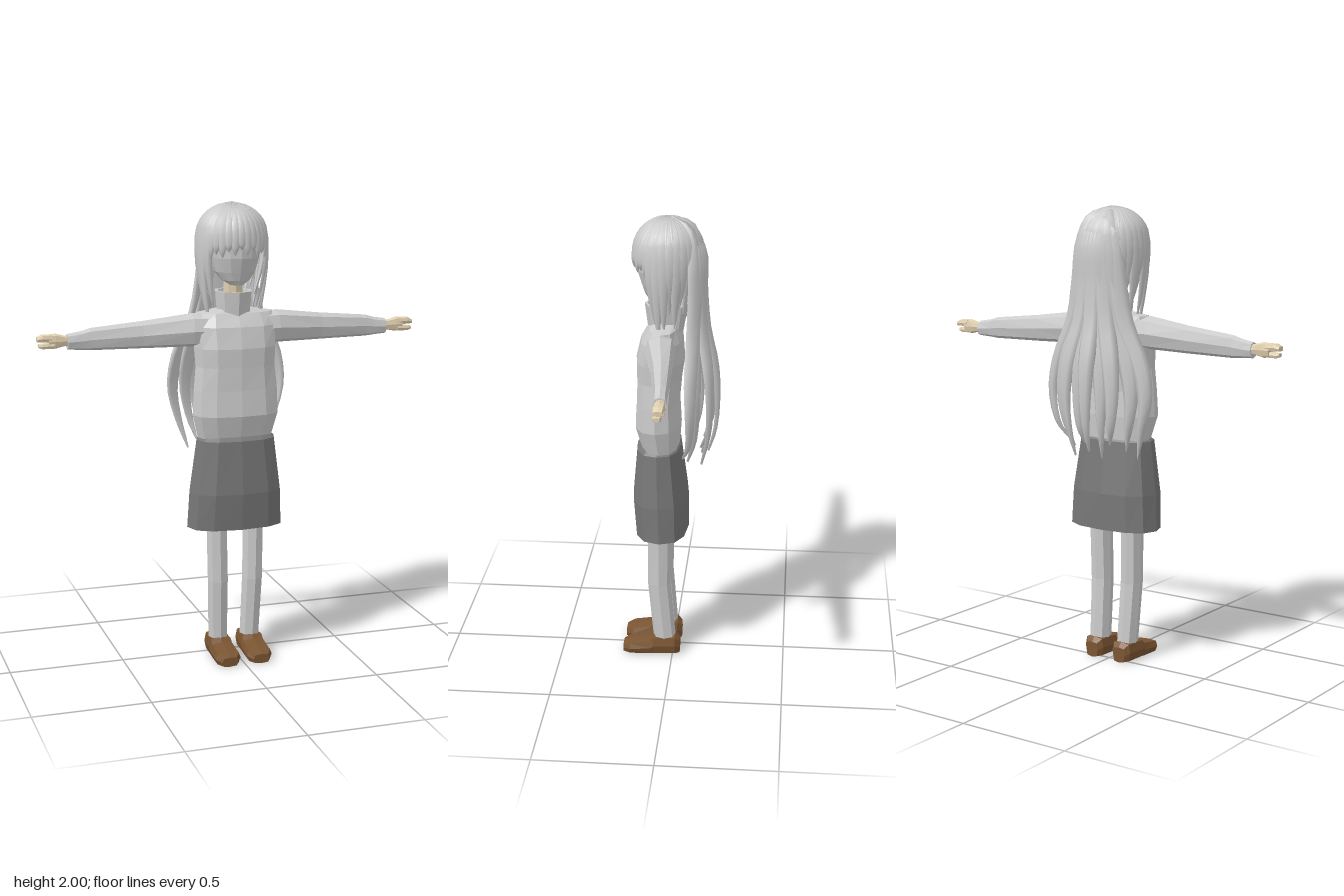
import * as THREE from 'three';
import { mergeGeometries } from 'three/addons/utils/BufferGeometryUtils.js';

const V = (x, y, z) => new THREE.Vector3(x, y, z);
const flat = (color) => new THREE.MeshStandardMaterial({ color, flatShading: true });
const cloth = flat(0xcccccc), dark = flat(0x777777), skin = flat(0xe0cfb0), leather = flat(0x7a5532);
const hairMat = new THREE.MeshStandardMaterial({ color: 0xcccccc, side: THREE.DoubleSide });

// Skin a row of rings { c: centre, u, v: half axes }; u x v points along the row.
// power < 1 makes the section boxier, bow curls its edges back along -v.
function loft(rings, n = 8, power = 1, bow = 0) {
  const pos = [], idx = [];
  const pw = (a) => Math.sign(a) * Math.abs(a) ** power;
  for (const { c, u, v } of rings) {
    for (let i = 0; i < n; i++) {
      const a = (i / n) * Math.PI * 2, cu = pw(Math.cos(a)), cv = pw(Math.sin(a)) - bow * Math.cos(a) ** 2;
      pos.push(...c.clone().addScaledVector(u, cu).addScaledVector(v, cv).toArray());
    }
  }
  for (let r = 0; r < rings.length - 1; r++) {
    for (let i = 0; i < n; i++) {
      const j = (i + 1) % n, a = r * n + i, b = r * n + j;
      idx.push(a, b, b + n, a, b + n, a + n);
    }
  }
  const end = (rings.length - 1) * n;
  for (let i = 1; i < n - 1; i++) idx.push(0, i + 1, i, end, end + i, end + i + 1);
  const g = new THREE.BufferGeometry();
  g.setAttribute('position', new THREE.Float32BufferAttribute(pos, 3));
  g.setIndex(idx);
  g.computeVertexNormals();
  return g;
}

// Rows along each axis
// upright: [y, x centre, z centre, half width, half depth]
const upright = (rows, n, p) => loft(rows.map(([y, x, z, rx, rz]) => ({ c: V(x, y, z), u: V(0, 0, rz), v: V(rx, 0, 0) })), n, p);
// sideways: [x, y centre, z centre, half height, half depth]
const sideways = (rows, n, p) => loft(rows.map(([x, y, z, ry, rz]) => ({ c: V(x, y, z), u: V(0, ry, 0), v: V(0, 0, rz) })), n, p);
// forward: [z, x centre, height from ground, half width]
const forward = (rows, n, p) => loft(rows.map(([z, x, h, rx]) => ({ c: V(x, h / 2, z), u: V(rx, 0, 0), v: V(0, h / 2, 0) })), n, p);

function mirrored(g) {
  const m = g.clone().scale(-1, 1, 1);
  const a = m.index.array;
  for (let i = 0; i < a.length; i += 3) [a[i], a[i + 1]] = [a[i + 1], a[i]];
  m.computeVertexNormals();
  return m;
}

// A tapering lock of hair along a curve, facing outward at the given angle
function lock(points, angle, width, thick, steps = 14) {
  const curve = new THREE.CatmullRomCurve3(points);
  const S = V(Math.cos(angle), 0, -Math.sin(angle));
  const rings = [];
  for (let i = 0; i <= steps; i++) {
    const t = i / steps;
    const taper = t < 0.6 ? 1 : Math.max(0.03, ((1 - t) / 0.4) ** 0.75);
    const w = width * Math.min(1, 0.2 + t * 2.6) * taper;
    const N = curve.getTangent(t).cross(S).normalize();
    rings.push({ c: curve.getPoint(t), u: S.clone().multiplyScalar(w / 2), v: N.multiplyScalar(thick * (0.3 + 0.7 * taper)) });
  }
  return loft(rings, 6, 1, 0.9);
}

// A lock that leaves the crown, follows the skull and hangs to a given height
function skullLock(angle, endY, endScale, width) {
  const c = V(-0.005, 1.85, 0.025), rx = 0.15, ry = 0.142, rz = 0.146;
  const at = (k, y) => V(c.x + Math.sin(angle) * rx * k, y, c.z + Math.cos(angle) * rz * k);
  const pts = [0.08, 0.45, 0.85, 1.25].map((p) => at(Math.sin(p), c.y + ry * Math.cos(p)));
  const drop = 1.85 - endY;
  pts.push(at(1.01, 1.85 - drop * 0.25), at((1 + endScale) / 2 + 0.03, 1.85 - drop * 0.65), at(endScale, endY));
  return lock(pts, angle, width, 0.009);
}

export function createModel() {
  const model = new THREE.Group();
  const add = (name, g, mat) => {
    const m = new THREE.Mesh(g, mat);
    m.name = name;
    model.add(m);
  };
  const pair = (name, g, mat) => {
    add(name + 'Left', g, mat);
    add(name + 'Right', mirrored(g), mat);
  };

  // Sweater body
  add('sweater', upright([
    [0.99, 0, 0.055, 0.165, 0.08], [1.1, 0, 0.067, 0.192, 0.1], [1.21, 0, 0.067, 0.187, 0.093],
    [1.31, 0, 0.062, 0.177, 0.097], [1.39, 0, 0.057, 0.182, 0.104], [1.48, 0, 0.05, 0.185, 0.09],
    [1.535, 0, 0.042, 0.17, 0.062], [1.55, 0, 0.037, 0.08, 0.05],
  ], 12, 0.8), cloth);
  // Hollow stand-up collar
  add('collar', upright([
    [1.51, 0, 0.035, 0.072, 0.075], [1.625, 0, 0.033, 0.08, 0.092],
    [1.625, 0, 0.033, 0.068, 0.08], [1.56, 0, 0.033, 0.06, 0.068],
  ], 8, 0.85), cloth);
  // Skirt, hollow from below
  add('skirt', upright([
    [0.97, 0, 0.06, 0.15, 0.07], [0.6, 0, 0.05, 0.205, 0.107], [0.6, 0, 0.05, 0.215, 0.116],
    [0.76, 0, 0.057, 0.206, 0.122], [0.99, 0, 0.063, 0.175, 0.096], [1.01, 0, 0.06, 0.15, 0.075],
  ], 12, 0.8), dark);

  // Sleeves with narrow cuffs
  pair('sleeve', sideways([
    [0.09, 1.463, 0.05, 0.07, 0.065], [0.19, 1.465, 0.045, 0.071, 0.064], [0.4, 1.451, 0.021, 0.058, 0.043],
    [0.62, 1.44, 0.003, 0.047, 0.029], [0.655, 1.436, 0.002, 0.04, 0.027], [0.715, 1.433, -0.002, 0.033, 0.028],
  ], 8, 0.85), cloth);
  // Hands: palm, bent fingers and thumb
  const hand = mergeGeometries([
    sideways([[0.69, 1.436, -0.004, 0.02, 0.018], [0.73, 1.437, -0.004, 0.023, 0.02],
      [0.765, 1.438, -0.005, 0.032, 0.024], [0.795, 1.438, -0.005, 0.029, 0.023]], 8, 0.7),
    sideways([[0.78, 1.45, -0.005, 0.018, 0.023], [0.82, 1.452, -0.005, 0.016, 0.023],
      [0.842, 1.447, -0.005, 0.01, 0.019]], 8, 0.6),
    sideways([[0.77, 1.421, 0, 0.014, 0.02], [0.82, 1.419, 0, 0.012, 0.018], [0.837, 1.421, 0, 0.008, 0.013]], 8, 0.6),
  ]);
  pair('hand', hand, skin);

  // Legs and shoes
  pair('leg', upright([
    [0.07, 0.073, 0.036, 0.043, 0.05], [0.35, 0.079, 0.06, 0.046, 0.051], [0.6, 0.083, 0.057, 0.046, 0.053],
    [0.85, 0.085, 0.057, 0.047, 0.055],
  ], 8, 0.9), cloth);
  pair('shoe', forward([
    [-0.032, 0.073, 0.07, 0.03], [-0.012, 0.073, 0.09, 0.048], [0.085, 0.073, 0.088, 0.053],
    [0.1, 0.073, 0.07, 0.054], [0.19, 0.072, 0.054, 0.057], [0.222, 0.072, 0.042, 0.035],
  ], 8, 0.5), leather);

  // Neck and head
  add('neck', upright([[1.53, 0, 0.03, 0.042, 0.04], [1.7, 0, 0.035, 0.042, 0.04]], 8), skin);
  add('head', upright([
    [1.655, 0, 0.08, 0.03, 0.035], [1.675, 0, 0.068, 0.062, 0.058], [1.71, 0, 0.055, 0.088, 0.083],
    [1.77, 0, 0.048, 0.107, 0.108], [1.86, 0, 0.036, 0.125, 0.123], [1.93, 0, 0.03, 0.105, 0.108],
    [1.975, 0, 0.028, 0.05, 0.055],
  ], 14), cloth);

  // Fringe: short pointed locks across the brow
  const fringe = [];
  for (let i = 0; i < 11; i++) {
    const a = (i - 5) * 0.185;
    fringe.push(skullLock(a, 1.79 + 0.02 * (i % 2) - 0.01 * Math.abs(i - 5) * 0.5, 0.97, 0.05));
  }
  add('fringe', mergeGeometries(fringe), hairMat);

  // Side locks framing the face, of uneven lengths
  const sides = [];
  const ends = [1.56, 1.47, 1.52, 1.6, 1.54, 1.63, 1.6];
  for (const s of [-1, 1]) {
    ends.forEach((y, i) => sides.push(skullLock(s * (1.08 + i * 0.2), y, 0.72 + 0.02 * (i % 3), 0.064)));
  }
  add('sideHair', mergeGeometries(sides), hairMat);

  // Close-lying locks over the back of the head
  const back = [];
  for (let i = 0; i < 7; i++) {
    back.push(skullLock(Math.PI + (i - 3) * 0.22, 1.7 + 0.02 * (i % 2), 0.85, 0.07));
  }
  add('backHair', mergeGeometries(back), hairMat);

  // Long locks fanning out down to the waist
  const long = [];
  for (let i = 0; i < 9; i++) {
    const k = (i - 4) / 4, x = 0.245 * k, z = -0.19 + 0.1 * k * k + (i % 2) * 0.025;
    const tip = 0.93 + 0.03 * (i % 3);
    long.push(lock([
      V(0, 1.988, 0.01), V(x * 0.22, 1.955, -0.065), V(x * 0.36, 1.85, -0.125 + 0.03 * k * k),
      V(x * 0.42, 1.7, -0.13 + 0.03 * k * k), V(x * 0.56, 1.52, z * 0.5 - 0.05), V(x * 0.88, 1.35, z * 0.9 - 0.01),
      V(x, 1.2, z), V(x * 0.9, 1.06, z + 0.01), V(x * 0.74, tip, z + 0.04),
    ], Math.PI - k * 0.5, 0.088, 0.016, 22));
  }
  add('longHair', mergeGeometries(long), hairMat);

  return model;
}
